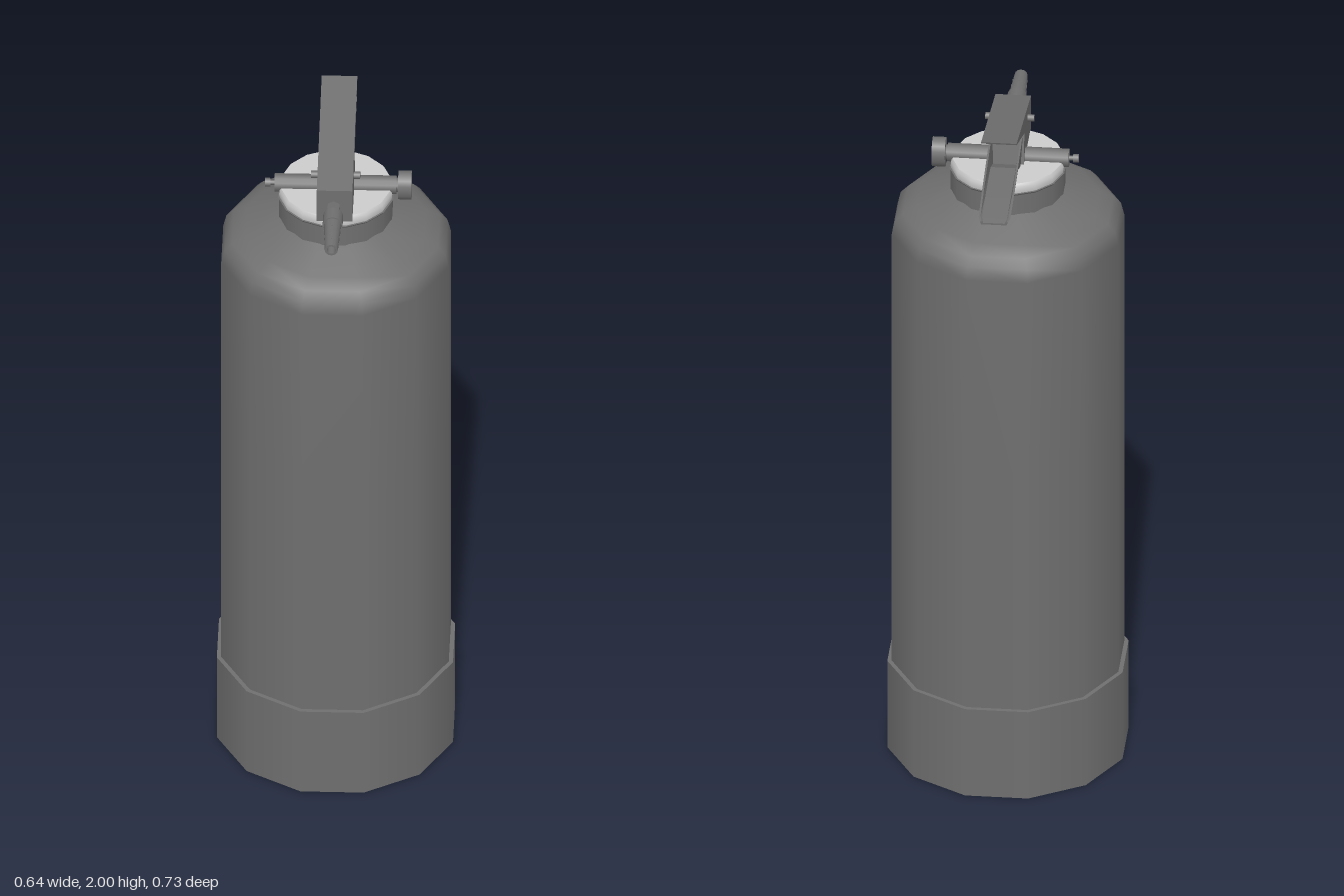
import * as THREE from 'three';

const CZ = 0.012; // depth of the cylinder axis
const VALVE_Y = 1.82;
const NOZZLE_Y = 1.862;
const DARK = 0x6f6f6f;
const LIGHT = 0xcccccc;

function add(group, name, geometry, options = {}) {
  const mesh = new THREE.Mesh(geometry, new THREE.MeshStandardMaterial({ color: DARK, ...options }));
  mesh.name = name;
  group.add(mesh);
  return mesh;
}

// Turned part; a repeated profile point makes a sharp edge.
function turned(points, sides, phase = 0) {
  return new THREE.LatheGeometry(points.map(([r, y]) => new THREE.Vector2(r, y)), sides, phase);
}

// Side outline given as [z, y], extruded across the width.
function sideProfile(points, width) {
  const shape = new THREE.Shape(points.map(([z, y]) => new THREE.Vector2(z, y)));
  const geometry = new THREE.ExtrudeGeometry(shape, { depth: width, bevelEnabled: false });
  return geometry.translate(0, 0, -width / 2).rotateY(-Math.PI / 2);
}

// Round bar along x between two positions.
function crossBar(x0, x1, radius, y, z, sides = 12) {
  return new THREE.CylinderGeometry(radius, radius, x1 - x0, sides)
    .rotateZ(Math.PI / 2).translate((x0 + x1) / 2, y, z);
}

// Upward-open channel through stations of [z, rim height, floor height, half width].
function channel(stations, t) {
  const positions = [];
  const index = [];
  const n = 8;
  for (const [z, top, bottom, w] of stations) {
    const f = w * 0.9;
    const floor = Math.min(bottom + t, top);
    const section = [[-w, top], [-f, bottom], [f, bottom], [w, top],
      [w - t, top], [f - t, floor], [t - f, floor], [t - w, top]];
    for (const [x, y] of section) positions.push(x, y, z);
  }
  for (let i = 0; i < stations.length - 1; i++) {
    for (let j = 0; j < n; j++) {
      const a = i * n + j;
      const b = i * n + (j + 1) % n;
      index.push(a, a + n, b, b, a + n, b + n);
    }
  }
  // Close the free end.
  const e = (stations.length - 1) * n;
  for (const [a, b, c, d] of [[7, 6, 1, 0], [6, 5, 2, 1], [5, 4, 3, 2]]) {
    index.push(e + a, e + b, e + c, e + a, e + c, e + d);
  }
  const geometry = new THREE.BufferGeometry();
  geometry.setAttribute('position', new THREE.Float32BufferAttribute(positions, 3));
  geometry.setIndex(index);
  geometry.computeVertexNormals();
  return geometry;
}

export function createModel() {
  const model = new THREE.Group();
  model.name = 'fireExtinguisher';

  // Twelve-sided tank, base skirt, neck and pale cap
  const tank = new THREE.Group();
  tank.name = 'tank';
  tank.position.z = CZ;
  model.add(tank);
  const phase = Math.PI / 12;
  add(tank, 'baseSkirt', turned([[0, 0], [0.329, 0], [0.329, 0], [0.329, 0.27], [0.329, 0.27], [0.31, 0.27]], 12, phase));
  add(tank, 'body', turned([[0.317, 0.26], [0.317, 1.0], [0.317, 1.605], [0.308, 1.642],
    [0.287, 1.665], [0.25, 1.685], [0.15, 1.728]], 12, phase));
  add(tank, 'neck', turned([[0.155, 1.715], [0.155, 1.785], [0.155, 1.785], [0.158, 1.79],
    [0.158, 1.79], [0.145, 1.792]], 16, Math.PI / 16));
  add(tank, 'cap', turned([[0.153, 1.788], [0.155, 1.798], [0.154, 1.81],
    [0.149, 1.818], [0.149, 1.818], [0, 1.818]], 16, Math.PI / 16), { color: LIGHT });

  // Valve head with the fixed upper handle, and the squeeze lever below it
  const head = new THREE.Group();
  head.name = 'valveHead';
  head.position.x = 0.0015;
  model.add(head);
  add(head, 'upperHandle', sideProfile([[0.172, 1.812], [0.172, 1.915], [-0.227, 2.0],
    [-0.225, 1.995], [-0.01, 1.905], [-0.03, 1.812]], 0.096));
  add(head, 'squeezeLever', channel([
    [0.0, 1.908, 1.812, 0.044],
    [-0.035, 1.9, 1.815, 0.044],
    [-0.1, 1.885, 1.843, 0.044],
    [-0.25, 1.856, 1.838, 0.044],
    [-0.345, 1.838, 1.83, 0.043],
    [-0.365, 1.835, 1.826, 0.038],
  ], 0.005), { flatShading: true, side: THREE.DoubleSide });

  // Safety pin through the head
  add(head, 'safetyPin', crossBar(-0.066, 0.066, 0.01, 1.9, 0.081, 8));

  // Cross valve: bar, gauge on one side and small plug on the other
  const valve = new THREE.Group();
  valve.name = 'crossValve';
  model.add(valve);
  add(valve, 'valveBar', crossBar(-0.165, 0.163, 0.025, VALVE_Y, 0.015));
  add(valve, 'gaugeStem', crossBar(0.16, 0.172, 0.02, VALVE_Y, 0.015));
  const gauge = add(valve, 'gauge', crossBar(0.168, 0.204, 0.034, 0, 0, 16));
  gauge.scale.y = 1.24;
  gauge.position.set(0, VALVE_Y, 0.015);
  add(valve, 'plugStem', crossBar(-0.178, -0.163, 0.007, VALVE_Y, 0.015, 8));
  add(valve, 'plugKnob', crossBar(-0.191, -0.176, 0.012, VALVE_Y, 0.015, 8));

  // Nozzle pointing forward, with a hollow tapered tip
  const nozzle = new THREE.Group();
  nozzle.name = 'nozzle';
  nozzle.position.set(-0.001, NOZZLE_Y, 0);
  nozzle.rotation.x = Math.PI / 2;
  model.add(nozzle);
  add(nozzle, 'connector', turned([[0.018, 0.165], [0.018, 0.215]], 6), { flatShading: true });
  add(nozzle, 'collar', turned([[0, 0.211], [0.027, 0.211], [0.027, 0.211], [0.027, 0.255],
    [0.027, 0.255], [0.02, 0.255]], 12));
  add(nozzle, 'tip', turned([[0.024, 0.25], [0.018, 0.365], [0.018, 0.365], [0.012, 0.365],
    [0.012, 0.365], [0.01, 0.32], [0.01, 0.32], [0, 0.32]], 12));
  // Fine grip studs in rows around the tip
  for (let row = 0; row < 3; row++) {
    const along = 0.278 + row * 0.028;
    const radius = 0.024 - (along - 0.25) * 0.052 - 0.001;
    for (let i = 0; i < 8; i++) {
      const angle = i * Math.PI / 4;
      const stud = add(nozzle, 'gripStud', new THREE.BoxGeometry(0.003, 0.012, 0.003));
      stud.position.set(Math.sin(angle) * radius, along, Math.cos(angle) * radius);
      stud.rotation.y = angle;
    }
  }

  return model;
}
